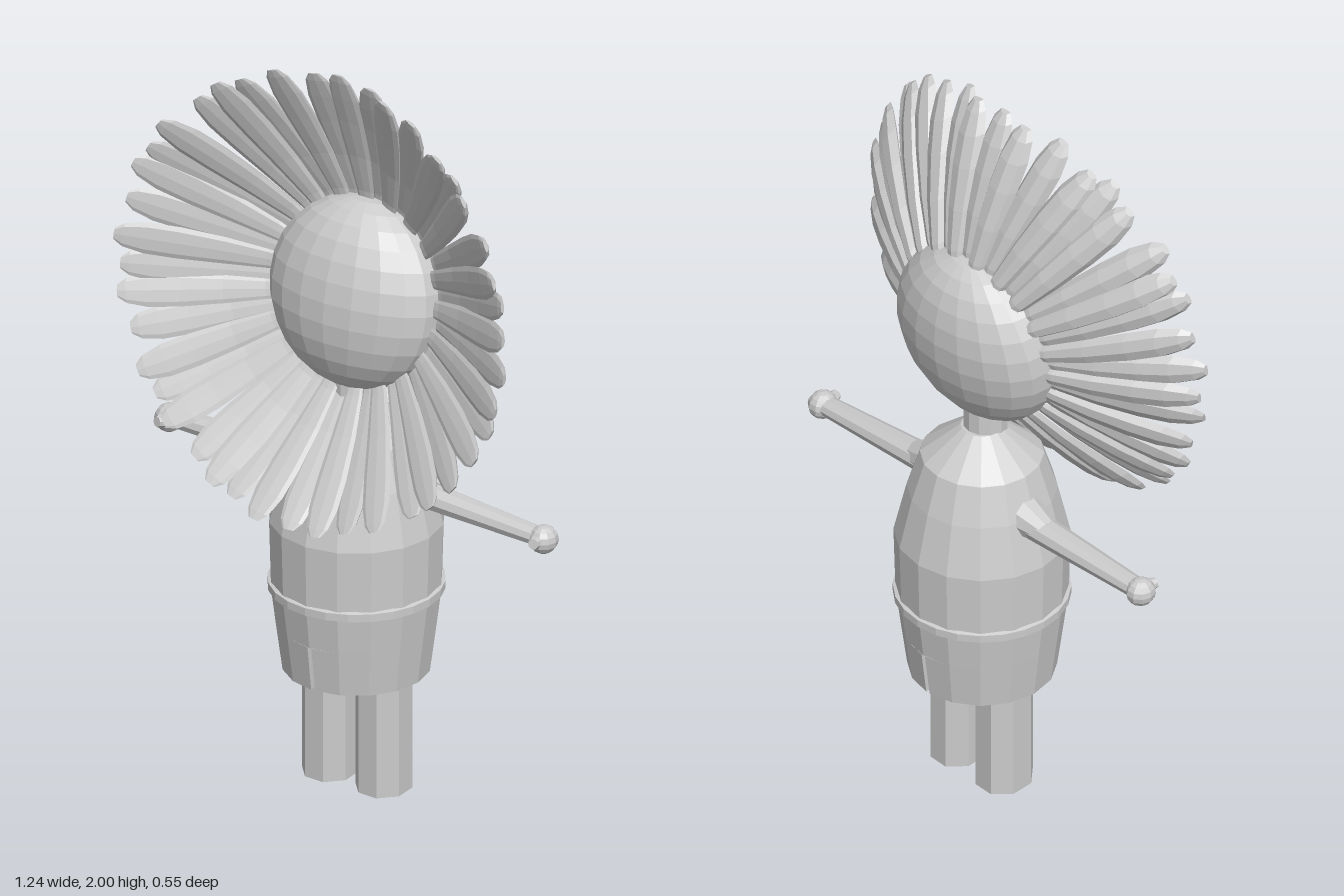
import * as THREE from 'three';

const mat = new THREE.MeshStandardMaterial({ color: 0xcccccc, flatShading: true, side: THREE.DoubleSide });

function add(parent, name, geometry, x = 0, y = 0, z = 0) {
  const mesh = new THREE.Mesh(geometry, mat);
  mesh.name = name;
  mesh.position.set(x, y, z);
  parent.add(mesh);
  return mesh;
}

const lathe = (points, sides) =>
  new THREE.LatheGeometry(points.map(([r, y]) => new THREE.Vector2(r, y)), sides);

// Tapered tube between two points
function limb(parent, name, a, b, ra, rb, sides) {
  const from = new THREE.Vector3(...a), to = new THREE.Vector3(...b);
  const dir = to.clone().sub(from);
  const mesh = add(parent, name, new THREE.CylinderGeometry(rb, ra, dir.length(), sides));
  mesh.position.copy(from).addScaledVector(dir, 0.5);
  mesh.quaternion.setFromUnitVectors(new THREE.Vector3(0, 1, 0), dir.normalize());
  return mesh;
}

// Petal: a tube flattened by a width profile, ridged behind and swept forward
function petalGeometry() {
  const along = [0, 0.15, 0.4, 0.65, 0.83, 0.95, 1];
  const width = [0.018, 0.026, 0.036, 0.043, 0.043, 0.032, 0.016];
  const g = new THREE.CylinderGeometry(1, 1, 1, 8, along.length - 1);
  const p = g.attributes.position;
  for (let i = 0; i < p.count; i++) {
    const row = Math.round((p.getY(i) + 0.5) * (along.length - 1));
    const t = along[row];
    const depth = (p.getZ(i) < 0 ? 0.7 : 0.2) * width[row];
    p.setXYZ(i, p.getX(i) * width[row], 0.21 + 0.4 * t, p.getZ(i) * depth + 0.22 * Math.pow(t, 1.2));
  }
  g.computeVertexNormals();
  return g;
}

// Half of the split hem: extruded half disc, tapering towards the bottom
function hemHalf(side) {
  const shape = new THREE.Shape();
  const gap = 0.006, r = 0.207, n = 8;
  for (let i = 0; i <= n; i++) {
    const a = -Math.PI / 2 + (Math.PI * i) / n;
    const x = side * Math.max(gap, r * Math.cos(a)), y = r * Math.sin(a);
    i ? shape.lineTo(x, y) : shape.moveTo(x, y);
  }
  const g = new THREE.ExtrudeGeometry(shape, { depth: 0.125, bevelEnabled: false });
  g.rotateX(Math.PI / 2);
  const p = g.attributes.position;
  for (let i = 0; i < p.count; i++) {
    if (p.getY(i) > -0.06) continue;
    const x = p.getX(i);
    p.setX(i, Math.abs(x) < 0.01 ? x : x * 0.92);
    p.setZ(i, p.getZ(i) * 0.92);
  }
  g.computeVertexNormals();
  return g;
}

export function createModel() {
  const model = new THREE.Group();
  model.name = 'flowerFigure';
  const cz = -0.06;

  // Torso, shorts and belt
  const body = new THREE.Group();
  body.name = 'body';
  body.position.set(0.004, 0, cz);
  model.add(body);
  add(body, 'torso', lathe([[0, 0.55], [0.22, 0.55], [0.225, 0.73], [0.192, 0.87], [0.158, 0.975], [0.055, 1.06], [0, 1.06]], 16));
  add(body, 'shorts', lathe([[0, 0.44], [0.207, 0.44], [0.221, 0.55], [0, 0.55]], 16));
  add(body, 'belt', lathe([[0.21, 0.535], [0.227, 0.539], [0.227, 0.56], [0.21, 0.566]], 24));
  for (const side of [-1, 1]) add(body, side > 0 ? 'leftHem' : 'rightHem', hemHalf(side), 0, 0.44, 0);
  add(body, 'neck', new THREE.CylinderGeometry(0.058, 0.058, 0.14, 12), 0, 1.1, 0.012);

  // Legs
  for (const side of [-1, 1]) {
    const leg = add(model, side > 0 ? 'leftLeg' : 'rightLeg',
      new THREE.CylinderGeometry(0.076, 0.076, 0.34, 8), 0.006 + side * 0.083, 0.17, cz);
    leg.rotation.y = Math.PI / 8;
    leg.scale.set(0.98, 1, 1.12);
  }

  // Arms with shoulder flare, hand and thumb
  for (const side of [-1, 1]) {
    const arm = new THREE.Group();
    arm.name = side > 0 ? 'leftArm' : 'rightArm';
    model.add(arm);
    const handY = side > 0 ? 0.823 : 0.845, z = cz - 0.005;
    limb(arm, 'shoulder', [side * 0.12, 0.87, z], [side * 0.24, 0.85, z], 0.066, 0.035, 10);
    limb(arm, 'forearm', [side * 0.18, 0.85, z], [side * 0.57, handY + 0.003, z], 0.036, 0.025, 10).scale.z = 1.2;
    add(arm, 'hand', new THREE.SphereGeometry(0.038, 10, 8), side * 0.582, handY, z).scale.z = 1.05;
    limb(arm, 'thumb', [side * 0.575, handY, cz + 0.01], [side * 0.585, handY + 0.005, cz + 0.045], 0.022, 0.014, 8);
  }

  // Head tilted slightly upward
  const flower = new THREE.Group();
  flower.name = 'flowerHead';
  flower.position.set(0.004, 1.36, -0.07);
  flower.rotation.x = -0.21;
  model.add(flower);
  const head = add(flower, 'head', new THREE.SphereGeometry(1, 20, 14));
  head.scale.set(0.255, 0.255, 0.156);
  head.rotation.x = 0.06;

  // Two interleaved layers of petals; the upper ones sweep further forward
  const geometry = petalGeometry();
  const count = 42;
  for (let i = 0; i < count; i++) {
    const back = i % 2;
    const a = (i * 2 * Math.PI) / count;
    const holder = new THREE.Group();
    holder.name = 'petal';
    holder.rotation.z = a + 0.008 * Math.sin(i * 2.3);
    flower.add(holder);
    const petal = add(holder, back ? 'backPetal' : 'frontPetal', geometry, 0, 0, back ? -0.012 : 0.005);
    petal.rotation.y = 0.08 * Math.sin(i * 1.7);
    petal.scale.y = 0.984 + 0.008 * Math.cos(i * 3.1);
    petal.scale.z = 1 + 0.46 * Math.cos(a) * Math.abs(Math.sin(a));
  }
  return model;
}
